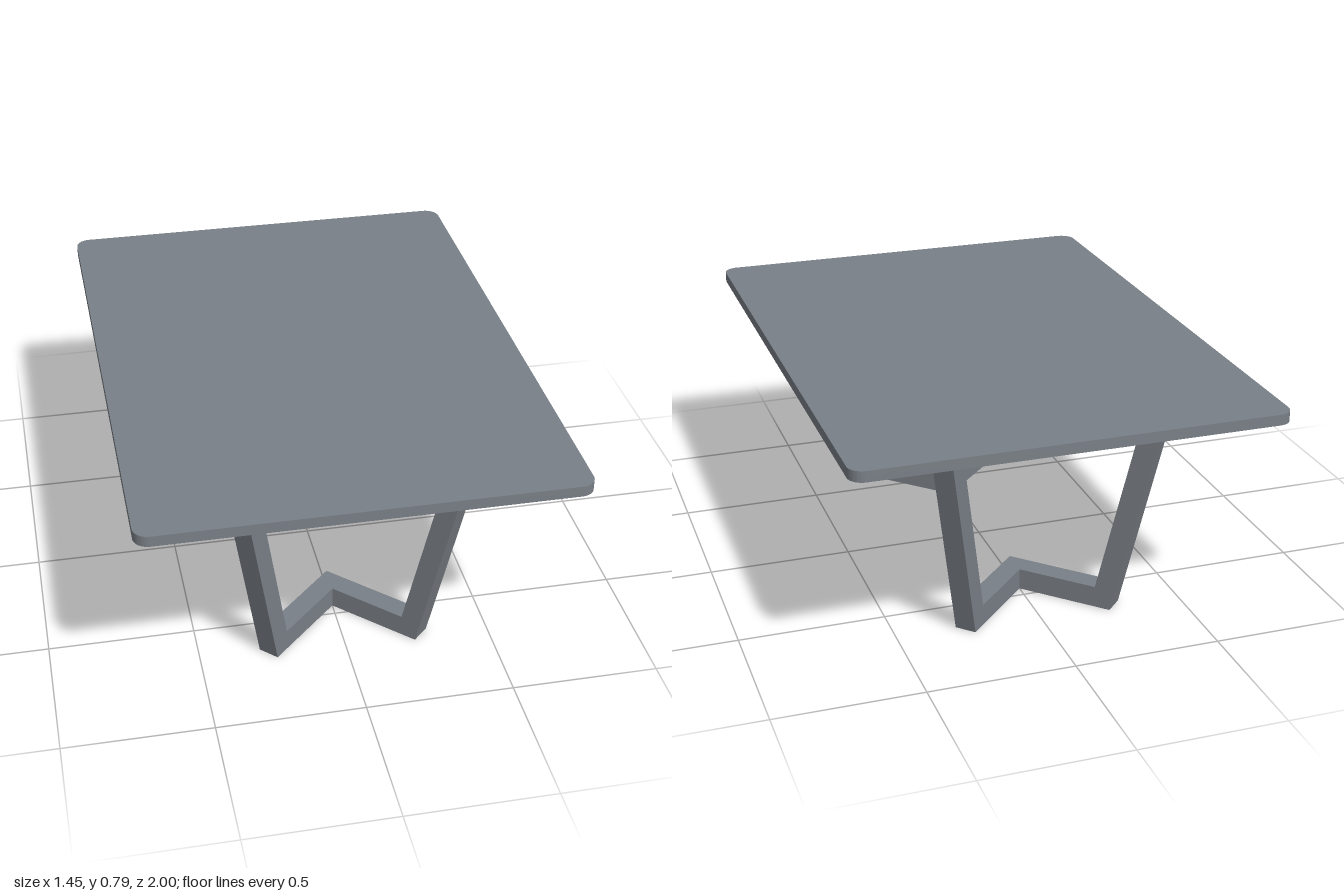
import * as THREE from 'three';
import { toCreasedNormals } from 'three/addons/utils/BufferGeometryUtils.js';

const material = new THREE.MeshStandardMaterial({ color: 0x7a8087 });
const TOP_Y = 0.751, THICKNESS = 0.037;

// Flat slab with rounded corners
function createTableTop() {
  const w = 0.723, l = 1, r = 0.05;
  const shape = new THREE.Shape();
  shape.moveTo(w, -l + r);
  shape.absarc(w - r, l - r, r, 0, Math.PI / 2);
  shape.absarc(-w + r, l - r, r, Math.PI / 2, Math.PI);
  shape.absarc(-w + r, -l + r, r, Math.PI, Math.PI * 1.5);
  shape.absarc(w - r, -l + r, r, Math.PI * 1.5, Math.PI * 2);
  let geometry = new THREE.ExtrudeGeometry(shape, { depth: THICKNESS, bevelEnabled: false, curveSegments: 8 });
  geometry.rotateX(-Math.PI / 2);
  geometry.translate(0, TOP_Y, 0);
  geometry = toCreasedNormals(geometry, Math.PI / 6);
  const mesh = new THREE.Mesh(geometry, material);
  mesh.name = 'tableTop';
  return mesh;
}

// C-shaped half frame: foot bar, slanted leg and upper bar, running out at 45 degrees from x = 0
function createHalfFrame(side) {
  const outline = [
    [0, 0], [0.24, 0], [0.362, TOP_Y], [0, TOP_Y],
    [0, 0.674], [0.298, 0.674], [0.2, 0.075], [0, 0.075],
  ];
  const shape = new THREE.Shape(outline.map(([x, y]) => new THREE.Vector2(side * x, y)));
  const geometry = new THREE.ExtrudeGeometry(shape, { depth: 1, bevelEnabled: false });

  // Swing the bars to 45 degrees, keeping a mitre where the halves meet
  const p = geometry.attributes.position;
  for (let i = 0; i < p.count; i++) {
    const outer = p.getZ(i) > 0.5;
    let x = Math.abs(p.getX(i));
    if (!outer && x > 0.001) x += 0.0525;
    p.setX(i, side * x);
    p.setZ(i, x + (outer ? 0.455 : 0.35));
  }
  geometry.computeVertexNormals();
  const mesh = new THREE.Mesh(geometry, material);
  mesh.name = side > 0 ? 'leftLegFrame' : 'rightLegFrame';
  return mesh;
}

export function createModel() {
  const model = new THREE.Group();
  model.name = 'table';
  model.add(createTableTop());

  // One V-shaped base at each end
  for (const end of ['front', 'back']) {
    const base = new THREE.Group();
    base.name = end + 'Base';
    base.add(createHalfFrame(1), createHalfFrame(-1));
    if (end === 'back') base.rotation.y = Math.PI;
    model.add(base);
  }
  return model;
}
